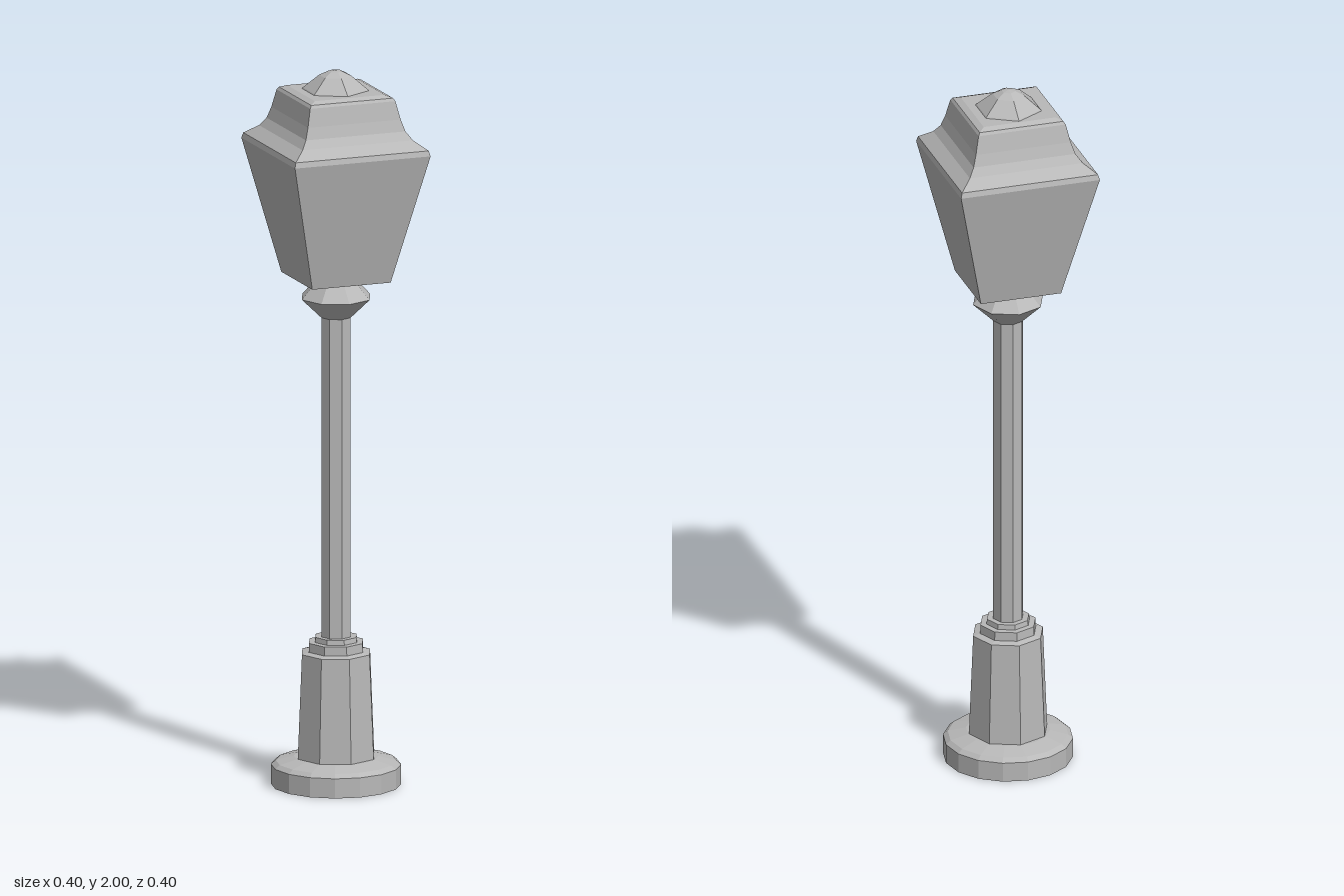
import * as THREE from 'three';

export function createModel() {
  const lamp = new THREE.Group();
  lamp.name = 'streetLamp';
  const grey = new THREE.MeshStandardMaterial({ color: 0xb8b8b8 });
  grey.name = 'grey metal';

  // Faceted solid of revolution: profile of [radius, y] from bottom to top.
  function faceted(name, profile, sides, turn = 0) {
    const points = profile.map(([r, y]) => new THREE.Vector2(r, y));
    const geometry = new THREE.LatheGeometry(points, sides, turn).toNonIndexed();
    geometry.computeVertexNormals();
    const mesh = new THREE.Mesh(geometry, grey);
    mesh.name = name;
    lamp.add(mesh);
    return mesh;
  }

  // Round foot with a bevelled rim
  faceted('foot', [[0, 0], [0.178, 0], [0.178, 0.055], [0.165, 0.066], [0.115, 0.078], [0, 0.078]], 16);

  // Tapered octagonal pedestal with stepped rings on top
  faceted('pedestal', [
    [0, 0.06], [0.113, 0.06], [0.1, 0.37], [0.08, 0.375], [0.079, 0.4],
    [0.062, 0.401], [0.06, 0.415], [0, 0.415],
  ], 8);

  // Slender post and the flared collar under the lantern
  faceted('post', [[0, 0.4], [0.043, 0.4], [0.043, 1.32], [0, 1.32]], 8);
  faceted('collar', [[0, 1.31], [0.043, 1.31], [0.1, 1.365], [0.052, 1.418], [0, 1.43]], 8);

  // Square lantern: half-widths are scaled out to the corners
  const lantern = [
    [0, 1.42], [0.115, 1.42], [0.199, 1.785], [0.195, 1.8], [0.162, 1.825],
    [0.146, 1.848], [0.136, 1.88], [0.125, 1.93], [0.12, 1.938], [0.103, 1.945], [0, 1.945],
  ];
  faceted('lantern', lantern.map(([w, y]) => [w * Math.SQRT2, y]), 4, Math.PI / 4);

  // Hexagonal domed finial
  const finial = faceted('finial', [[0.096, 1.94], [0.09, 1.948], [0.045, 1.985], [0.02, 1.997], [0, 2]], 6);
  finial.position.z = -0.005;

  return lamp;
}
